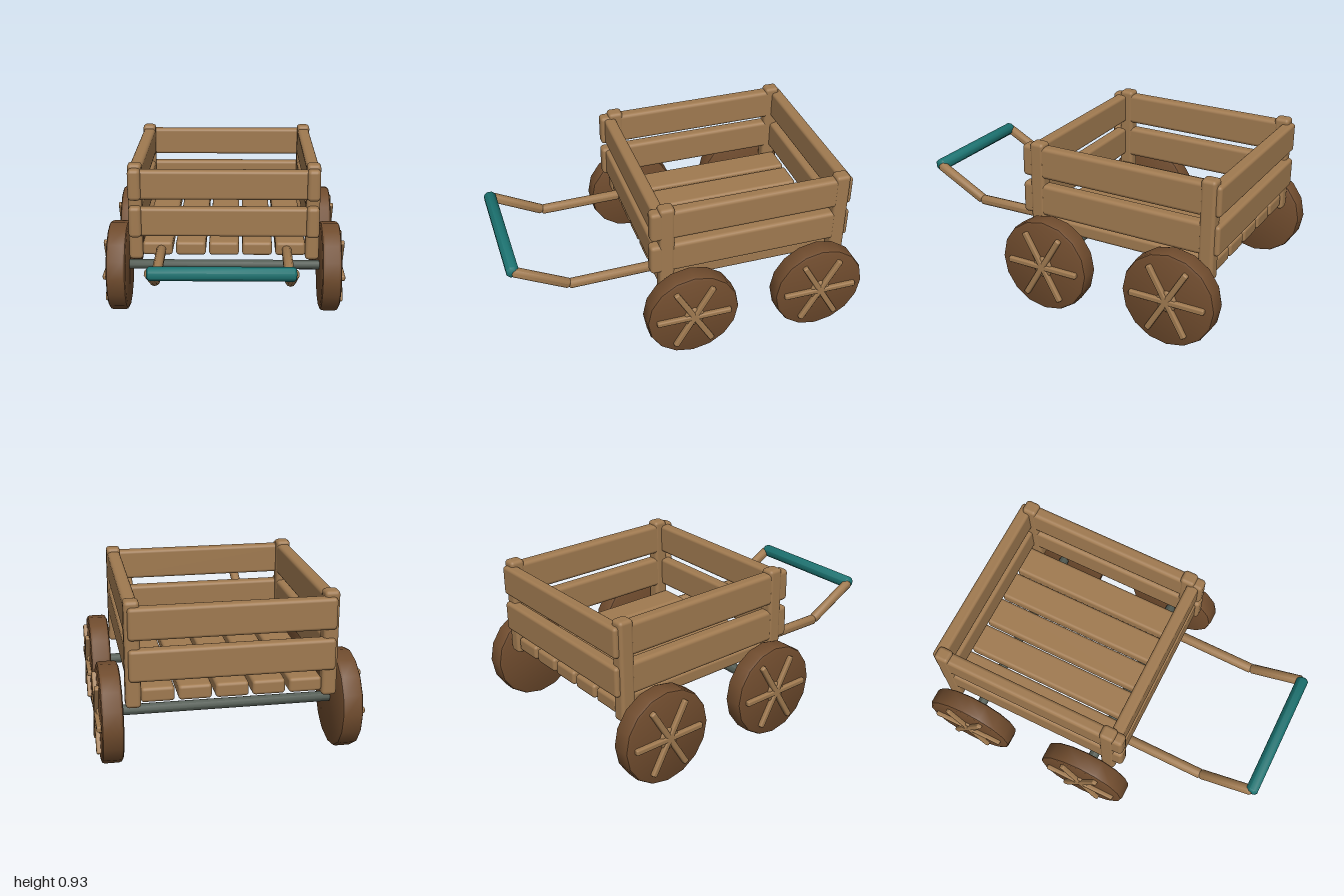
import * as THREE from 'three';
import { RoundedBoxGeometry } from 'three/addons/geometries/RoundedBoxGeometry.js';
import { toCreasedNormals } from 'three/addons/utils/BufferGeometryUtils.js';

const mat = (color) => new THREE.MeshStandardMaterial({ color });
const wood = mat(0xa07a50);
const wheelWood = mat(0x704c2e);
const iron = mat(0x535c54);
const teal = mat(0x1c7472);

export function createModel() {
  const model = new THREE.Group();
  model.name = 'handCart';

  const add = (parent, name, geometry, material) => {
    const mesh = new THREE.Mesh(geometry, material);
    mesh.name = name;
    parent.add(mesh);
    return mesh;
  };

  // Softly rounded timber given by its min and max corners
  const timber = (parent, name, [x0, y0, z0], [x1, y1, z1], r = 0.018) => {
    const geo = new RoundedBoxGeometry(x1 - x0, y1 - y0, z1 - z0, 2, r);
    const mesh = add(parent, name, geo, wood);
    mesh.position.set((x0 + x1) / 2, (y0 + y1) / 2, (z0 + z1) / 2);
    return mesh;
  };

  // Round bar with bevelled ends, from a to b
  const bar = (parent, name, a, b, r, sides, material, bevel = 0.012) => {
    const from = new THREE.Vector3(...a), to = new THREE.Vector3(...b);
    const h = from.distanceTo(to) / 2;
    const profile = [[0, -h], [r - bevel, -h], [r, -h + bevel], [r, h - bevel], [r - bevel, h], [0, h]]
      .map(([x, y]) => new THREE.Vector2(x, y));
    const geo = toCreasedNormals(new THREE.LatheGeometry(profile, sides), 0.9);
    const mesh = add(parent, name, geo, material);
    mesh.position.copy(from).add(to).multiplyScalar(0.5);
    mesh.quaternion.setFromUnitVectors(new THREE.Vector3(0, 1, 0), to.sub(from).normalize());
    return mesh;
  };

  // Floor slats
  for (let i = -2; i <= 2; i++) {
    const x = i * 0.193;
    timber(model, 'floorSlat', [x - 0.087, 0.385, -0.91], [x + 0.087, 0.465, 0.18]);
  }

  // Two rows of planks on every side
  for (const y of [0.51, 0.73]) {
    timber(model, 'frontPlank', [-0.51, y, 0.145], [0.51, y + 0.17, 0.215]);
    timber(model, 'backPlank', [-0.535, y, -0.945], [0.535, y + 0.17, -0.875]);
    for (const s of [-1, 1]) {
      timber(model, 'sidePlank', [s * 0.511 - 0.037, y - 0.003, -0.9], [s * 0.511 + 0.037, y + 0.18, 0.237], 0.022);
    }
  }

  // Corner posts
  for (const s of [-1, 1]) {
    for (const z of [-0.877, 0.143]) {
      timber(model, 'cornerPost', [s * 0.512 - 0.04, 0.36, z - 0.043], [s * 0.512 + 0.04, 0.93, z + 0.043], 0.02);
    }
  }

  // Axles and spoked wheels
  const R = 0.268;
  const rim = [[0, -0.057], [R - 0.018, -0.057], [R - 0.005, -0.051], [R, -0.038],
    [R, 0.038], [R - 0.005, 0.051], [R - 0.018, 0.057], [0, 0.057]]
    .map(([x, y]) => new THREE.Vector2(x, y));
  const rimGeo = toCreasedNormals(new THREE.LatheGeometry(rim, 16), 0.75);
  rimGeo.rotateZ(-Math.PI / 2);

  for (const z of [-0.73, 0.03]) {
    bar(model, 'axle', [-0.67, 0.275, z], [0.67, 0.275, z], 0.03, 8, iron, 0.004);
    for (const s of [-1, 1]) {
      const wheel = new THREE.Group();
      wheel.name = s > 0 ? 'leftWheel' : 'rightWheel';
      wheel.position.set(s * 0.625, 0.27, z);
      add(wheel, 'wheelDisc', rimGeo, wheelWood);
      bar(wheel, 'hub', [s * 0.03, 0, 0], [s * 0.07, 0, 0], 0.062, 8, wood, 0.008);
      for (let i = 0; i < 3; i++) {
        const spoke = timber(wheel, 'spoke', [-0.02, -0.016, -0.217], [0.02, 0.016, 0.217], 0.009);
        spoke.position.x = s * 0.06;
        spoke.rotation.x = i * Math.PI / 3;
      }
      model.add(wheel);
    }
  }

  // Pull handle: two bent shafts joined by a coloured grip
  for (const s of [-1, 1]) {
    const x = s * 0.364;
    bar(model, 'shaft', [x, 0.42, 0.1], [x, 0.41, 0.665], 0.029, 10, wood);
    bar(model, 'shaftEnd', [x, 0.41, 0.655], [x, 0.572, 0.965], 0.029, 10, wood);
  }
  bar(model, 'grip', [-0.378, 0.57, 0.963], [0.378, 0.57, 0.963], 0.037, 8, teal)
    .rotateY(Math.PI / 8);

  return model;
}
